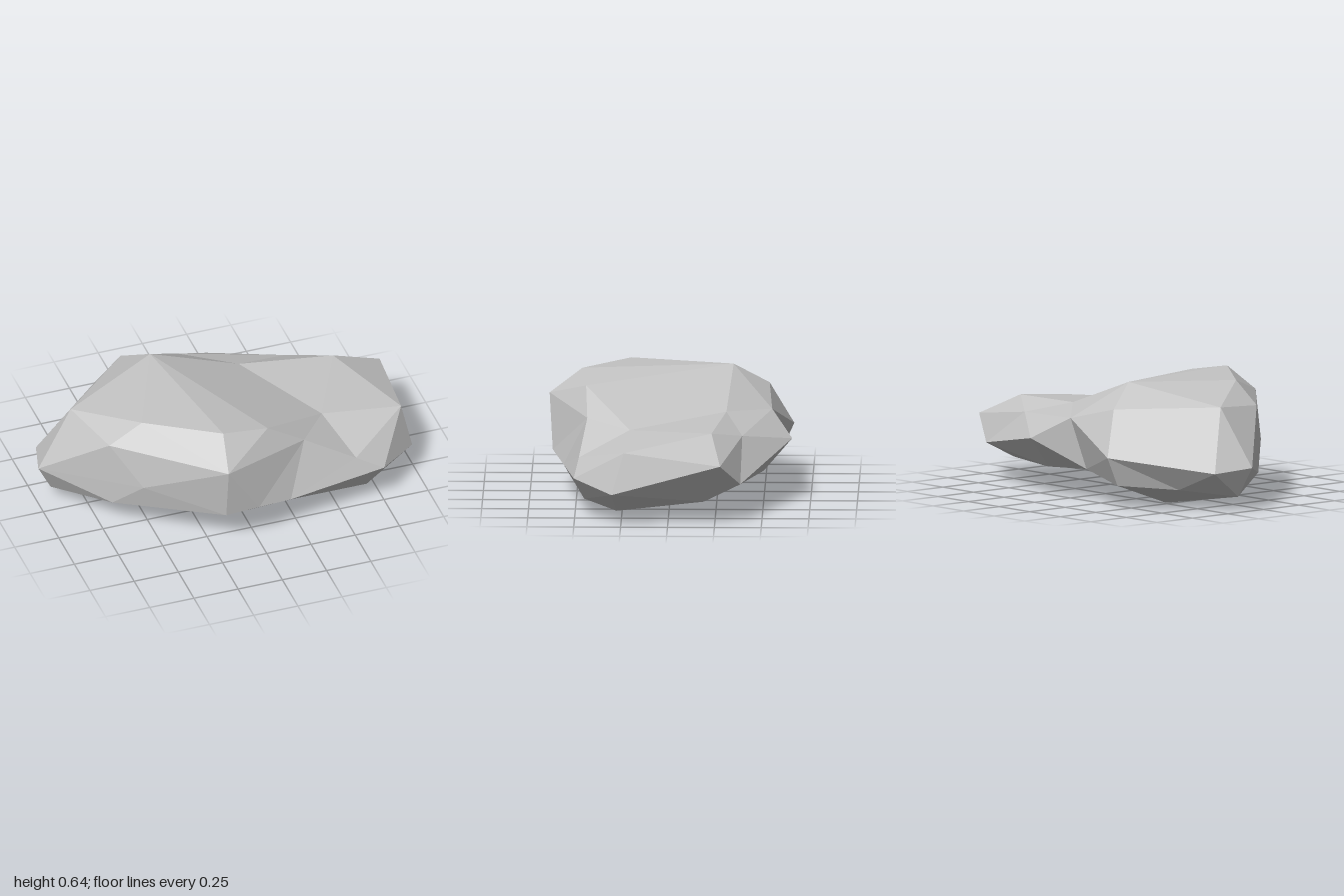
import * as THREE from 'three';

// Corners of the boulder in loops from top to bottom, [x, y, z]
const crown = [
  [-0.28, 0.64, -0.33], [-0.8, 0.54, -0.13], [-0.52, 0.625, 0.22], [-0.15, 0.64, 0.475],
  [0.11, 0.595, 0.45], [0.5, 0.43, 0.21], [0.72, 0.455, -0.23], [0.5, 0.4, -0.39],
  [0.21, 0.475, -0.3],
];
const shoulder = [
  [-0.38, 0.52, -0.52], [-0.7, 0.51, 0.21], [-0.18, 0.5, 0.65], [0.32, 0.46, 0.44],
  [0.6, 0.3, 0.48], [0.94, 0.39, 0.235], [1, 0.33, -0.28], [0.15, 0.32, -0.65],
];
const waist = [
  [-0.48, 0.28, -0.65], [-0.94, 0.21, -0.29], [-1, 0.23, -0.08], [-0.56, 0.3, 0.36],
  [-0.18, 0.2, 0.61], [0, 0.225, 0.63], [0.2, 0.185, 0.57], [0.75, 0.215, 0.505],
  [0.98, 0.17, 0.3], [0.82, 0.2, -0.385], [0.18, 0.15, -0.5],
];
const belly = [
  [-0.48, 0.125, -0.58], [-0.72, 0.107, -0.355], [-0.92, 0.07, -0.11], [-0.69, 0.145, 0.23],
  [0.3, 0.01, 0.3], [0.67, 0.09, 0.45], [0.8, 0.05, 0.275], [0.82, 0.105, -0.19],
  [0.26, 0.06, 0.1], [0.18, 0.1, -0.02], [0, 0.125, 0.2], [-0.04, 0.125, -0.085],
  [-0.47, 0, -0.23],
];
// Ends of the crease in the back
const crease = [[-0.05, 0.44, -0.54], [-0.11, 0.166, -0.48]];

// Direction of a corner seen from the core; a lift makes an edge run along the crease
function rayTo([x, y, z], lift) {
  return new THREE.Vector3(x, (y - 0.29) / 0.42, z / 0.7).setLength(lift);
}

// Join the corners wherever three rays have no other ray beyond their plane
function facetedStone(corners, rays) {
  const points = [];
  const plane = new THREE.Plane();
  const n = rays.length;
  for (let i = 0; i < n; i++) {
    for (let j = i + 1; j < n; j++) {
      for (let k = j + 1; k < n; k++) {
        plane.setFromCoplanarPoints(rays[i], rays[j], rays[k]);
        const gaps = rays.map((ray) => plane.distanceToPoint(ray));
        if (gaps.every((d) => d < 1e-9)) points.push(...corners[i], ...corners[j], ...corners[k]);
        else if (gaps.every((d) => d > -1e-9)) points.push(...corners[i], ...corners[k], ...corners[j]);
      }
    }
  }
  const geometry = new THREE.BufferGeometry();
  geometry.setAttribute('position', new THREE.Float32BufferAttribute(points, 3));
  geometry.computeVertexNormals(); // unshared corners give flat facets
  return geometry;
}

export function createModel() {
  const stone = new THREE.MeshStandardMaterial({ color: 0xc4c4c4 });
  stone.name = 'greyStone';
  const ridges = [...crown, ...shoulder, ...waist, ...belly];
  const rays = [...ridges.map((p) => rayTo(p, 1)), ...crease.map((p) => rayTo(p, 1.06))];
  const boulder = new THREE.Mesh(facetedStone([...ridges, ...crease], rays), stone);
  boulder.name = 'boulder';
  const group = new THREE.Group();
  group.name = 'rock';
  group.add(boulder);
  return group;
}
